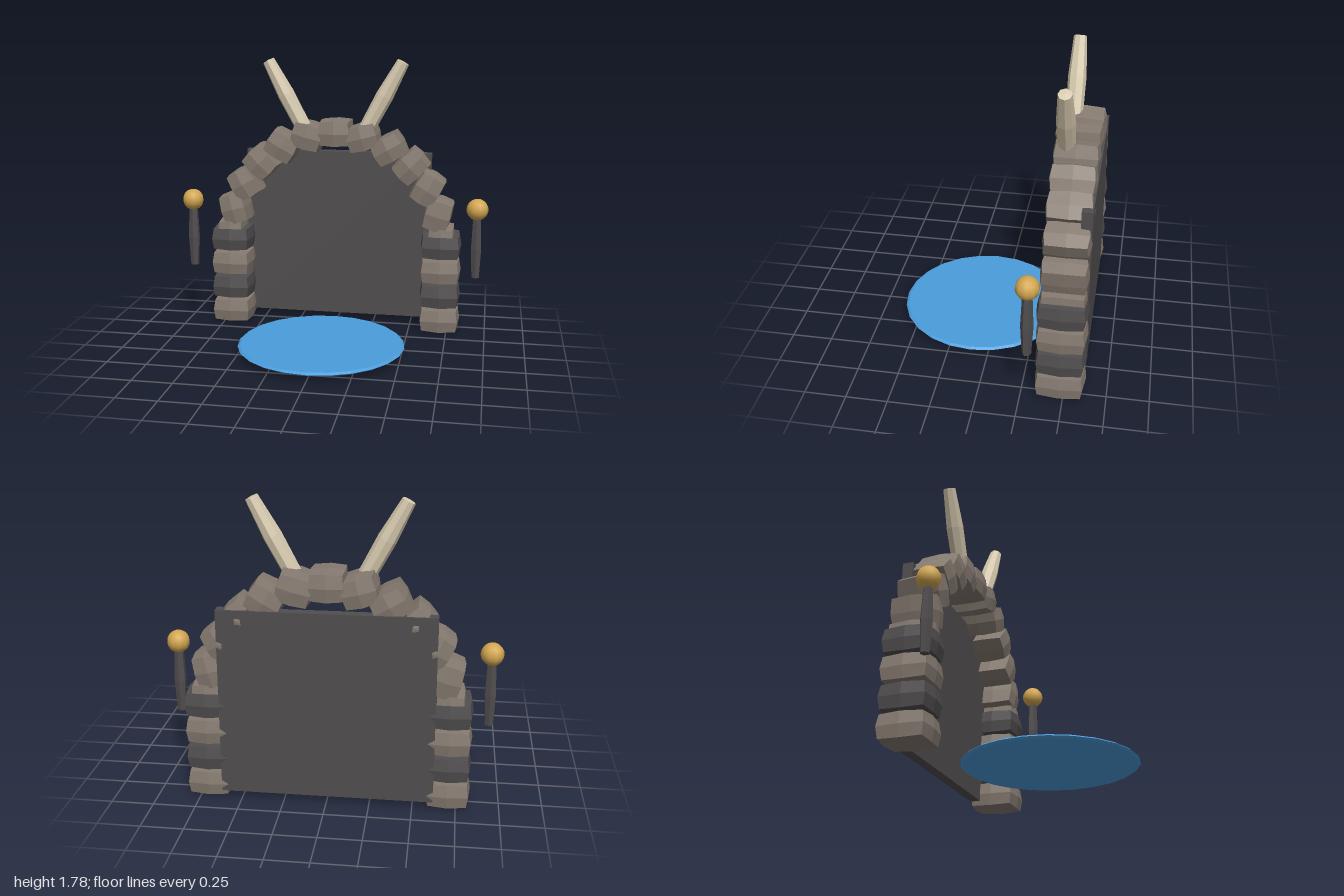
import * as THREE from 'three';

const mat = (name, color, flatShading = true) => {
  const m = new THREE.MeshStandardMaterial({ color, flatShading });
  m.name = name;
  return m;
};

// Box with bulging faces and pulled-in corners
function stoneGeometry(w, h, d) {
  const g = new THREE.BoxGeometry(2, 2, 2, 2, 2, 2);
  const p = g.attributes.position;
  const shrink = [1, 1, 0.91, 0.84];
  for (let i = 0; i < p.count; i++) {
    const v = [p.getX(i), p.getY(i), p.getZ(i)].map(Math.round);
    const s = shrink[v.filter((c) => c !== 0).length];
    p.setXYZ(i, v[0] * s * w / 2, v[1] * s * h / 2, v[2] * s * d / 2);
  }
  g.computeVertexNormals();
  return g;
}

// Faceted post turned from [radius, y] points
const turned = (points, sides) =>
  new THREE.LatheGeometry(points.map(([r, y]) => new THREE.Vector2(r, y)), sides);

export function createModel() {
  const model = new THREE.Group();
  model.name = 'stonePortal';
  const stone = mat('warmStone', 0x857a70);
  const dark = mat('darkStone', 0x504d4e);
  const bone = mat('bone', 0xd6c9ae);
  const gold = mat('gold', 0xd2a650, false);
  const water = mat('waterBlue', 0x4a9cdc);

  const add = (name, geometry, material, x, y, z, rotZ = 0) => {
    const m = new THREE.Mesh(geometry, material);
    m.name = name;
    m.position.set(x, y, z);
    m.rotation.z = rotZ;
    model.add(m);
    return m;
  };

  // Back wall
  add('backWall', new THREE.BoxGeometry(1.24, 1.12, 0.065), dark, 0, 0.61, -0.579);

  // Pool disc with a pointed rim
  add('pool', turned([[0, -0.012], [0.505, -0.011], [0.52, 0], [0.505, 0.011], [0, 0.012]], 24),
    water, 0, 0.059, 0.1);

  // Arch stones
  const archStone = stoneGeometry(0.215, 0.178, 0.28);
  for (let i = 0; i <= 12; i++) {
    const a = (i / 12) * Math.PI;
    add('archStone', archStone, stone,
      0.7 * Math.cos(a), 0.61 + 0.7 * Math.sin(a), -0.475, Math.PI / 2 - a);
  }

  const pillarStone = stoneGeometry(0.265, 0.162, 0.3);
  const horn = turned([[0, -0.25], [0.052, -0.25], [0.056, 0], [0.04, 0.245], [0, 0.25]], 8);
  const rod = turned([[0, -0.19], [0.027, -0.19], [0.037, 0], [0.029, 0.19], [0, 0.19]], 6);
  const ball = new THREE.SphereGeometry(0.069, 10, 10);

  for (const s of [-1, 1]) {
    // Pillar stones, alternating light and dark
    for (let i = 0; i < 4; i++) {
      add('pillarStone', pillarStone, i % 2 ? dark : stone, s * 0.7, 0.09 + i * 0.165, -0.475);
    }
    // Horn
    add('horn', horn, bone, s * 0.32, 1.555, -0.417, -s * 0.49);
    // Torch
    add('torchRod', rod, dark, s * 0.93, 0.61, -0.3);
    add('torchBall', ball, gold, s * 0.93, 0.863, -0.3);
  }
  return model;
}
